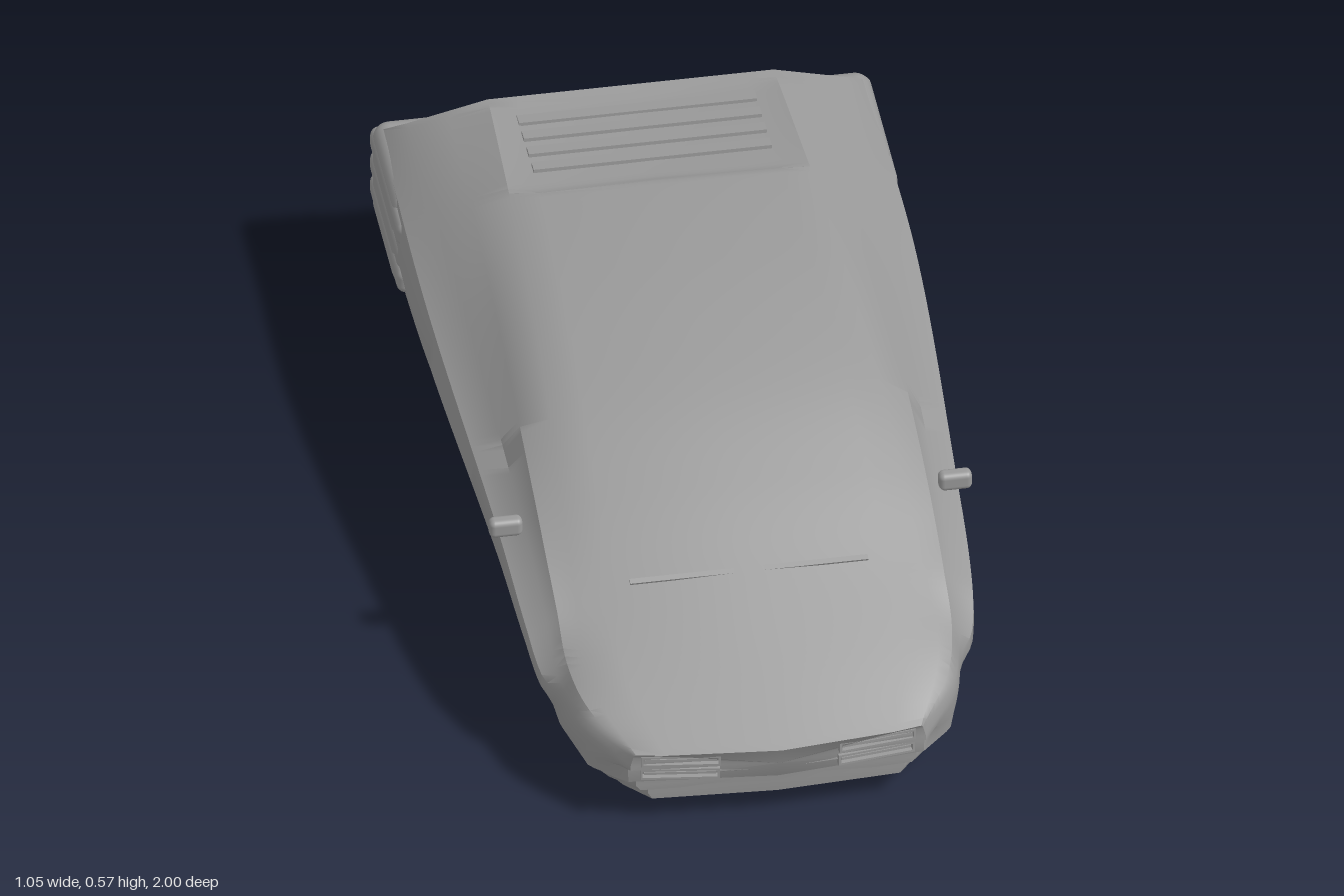
import * as THREE from 'three';
import { toCreasedNormals } from 'three/addons/utils/BufferGeometryUtils.js';
import { RoundedBoxGeometry } from 'three/addons/geometries/RoundedBoxGeometry.js';

const material = new THREE.MeshStandardMaterial({ color: 0x999999, side: THREE.DoubleSide });

function add(parent, name, geometry, x = 0, y = 0, z = 0, rx = 0, ry = 0, rz = 0) {
  const mesh = new THREE.Mesh(geometry, material);
  mesh.name = name;
  mesh.position.set(x, y, z);
  mesh.rotation.set(rx, ry, rz);
  parent.add(mesh);
}
const box = (w, h, d) => new THREE.BoxGeometry(w, h, d);
const points = list => list.map(p => new THREE.Vector2(...p));

// Point on a lengthwise rail of [z, x, y] knots, smooth or straight between knots
function railPoint(rail, u, straight = false) {
  const z = THREE.MathUtils.lerp(rail[0][0], rail.at(-1)[0], u);
  let i = 0;
  while (i < rail.length - 2 && z < rail[i + 1][0]) i++;
  const a = rail[i], b = rail[i + 1], h = b[0] - a[0], t = (z - a[0]) / h;
  const slope = (j, k) => {
    const p = rail[Math.max(j - 1, 0)], q = rail[Math.min(j + 1, rail.length - 1)];
    return (q[k] - p[k]) / (q[0] - p[0]);
  };
  const value = k => straight ? a[k] + (b[k] - a[k]) * t
    : a[k] * (1 + 2 * t) * (1 - t) ** 2 + slope(i, k) * h * t * (1 - t) ** 2
      + b[k] * t * t * (3 - 2 * t) + slope(i + 1, k) * h * t * t * (t - 1);
  return [value(1), value(2), z];
}

// Closed, mirrored skin over rails listed from top centre to bottom centre
function loft(rails, isStraight, steps) {
  const last = rails.length - 1, ring = 2 * last;
  const pos = [], index = [];
  for (let i = 0; i <= steps; i++) {
    const half = rails.map((r, k) => railPoint(r, i / steps, isStraight(k)));
    const mirrored = half.slice(1, last).reverse().map(([x, y, z]) => [-x, y, z]);
    pos.push(...[...half, ...mirrored].flat());
  }
  for (let i = 0; i < steps; i++) for (let j = 0; j < ring; j++) {
    const a = i * ring + j, b = i * ring + (j + 1) % ring;
    index.push(a, b, a + ring, b, b + ring, a + ring);
  }
  for (const end of [0, steps]) {
    const top = end * ring * 3, bottom = top + last * 3, c = pos.length / 3;
    pos.push(0, (pos[top + 1] + pos[bottom + 1]) / 2, (pos[top + 2] + pos[bottom + 2]) / 2);
    for (let j = 0; j < ring; j++) {
      const a = end * ring + j, b = end * ring + (j + 1) % ring;
      index.push(c, end ? a : b, end ? b : a);
    }
  }
  const g = new THREE.BufferGeometry();
  g.setAttribute('position', new THREE.Float32BufferAttribute(pos, 3));
  g.setIndex(index);
  return toCreasedNormals(g, .55);
}

// Side profile in (z, y) extruded across x
function across(profile, width) {
  const g = new THREE.ExtrudeGeometry(new THREE.Shape(profile), { depth: width, bevelEnabled: false });
  return toCreasedNormals(g.translate(0, 0, -width / 2).rotateY(-Math.PI / 2), .5);
}

// Rectangular rim
function frame(w, h, rim, depth) {
  const rect = (path, a, b) => path.moveTo(-a, -b).lineTo(a, -b).lineTo(a, b).lineTo(-a, b);
  const shape = rect(new THREE.Shape(), w / 2, h / 2);
  shape.holes.push(rect(new THREE.Path(), w / 2 - rim, h / 2 - rim));
  return new THREE.ExtrudeGeometry(shape, { depth, bevelEnabled: false });
}

// Guide lines as [z, x, y]: roof centre, fender shoulder, sill
const roof = [[1, 0, .205], [.8, 0, .287], [.6, 0, .372], [.4, 0, .455], [.2, 0, .522], [0, 0, .558],
  [-.2, 0, .572], [-.49, 0, .564], [-.515, 0, .562], [-.8, 0, .538], [-.86, 0, .53]];
const shoulder = [[.955, .31, .17], [.85, .39, .195], [.74, .422, .21], [.7, .45, .225], [.6, .468, .28],
  [.35, .482, .335], [-.35, .515, .4], [-.96, .51, .4]];
const sill = [[.93, .31, .11], [.85, .38, .1], [.7, .415, .1], [.5, .43, .13],
  [.15, .45, .2], [-.18, .46, .24], [-.4, .46, .15], [-.93, .46, .15]];

// Remaining body lines follow from the guides by rule
const arch = (z, power) => Math.sin(Math.PI * THREE.MathUtils.clamp((.97 - z) / 1.83, 0, 1) ** power);
const roofLine = (share, drop, nose) => roof.map(([z, , y], i) =>
  [i ? z : nose, share * (.3 + .065 * arch(z, .35)), y - drop * arch(z, .55) - (i ? 0 : drop / 8)]);
const sunkDeck = rail => rail.map(([z, x, y]) => [z, x, z < -.5 && z > -.85 ? y - .013 : y]);
const fromShoulder = rule => shoulder.map(([z, x, y]) => rule(z, x, y, .955 - z));
const floorLine = (dy, nose) => sill.map(([z, , y], i) => [i ? z : nose, 0, y + dy]);

const roofCorner = roofLine(1, .034, .96);
const canopyFoot = fromShoulder((z, x, y, t) => [Math.max(z, -.9), Math.min(x - .005, .42 + .022 * t), y + .02 + .02 * t]);
const canopySide = Array.from({ length: 17 }, (_, i) => {
  const a = railPoint(roofCorner, i / 16), b = railPoint(canopyFoot, i / 16), z = (a[2] + b[2]) / 2;
  return [z, (a[0] + b[0]) / 2 + .014 * arch(z, .8), (a[1] + b[1]) / 2 + .014 * arch(z, .8)];
});

const bodyRails = [
  sunkDeck(roof),
  sunkDeck(roofLine(.8, .013, .975)),
  roofCorner,
  canopySide,
  canopyFoot,
  shoulder,
  fromShoulder((z, x, y, t) => [z - .012 * t, x + .006 * t, y - Math.min(.1, .012 + .07 * t)]),
  sill.map(([z, x, y]) => [z - .015 * (1 - z), x + .025 * (1 - z), y + .035]),
  sill,
  floorLine(0, .96),
];

// Stepped band under the body, following the sill
function skirt(scale, up, down) {
  const stop = rail => rail.map(([z, x, y]) => [Math.max(z, -.88), x, y]);
  const edge = (s, dy) => stop(sill.map(([z, x, y]) => [z, x * s, y + dy]));
  return loft([stop(floorLine(up, .95)), edge(scale, up), edge(scale, (up + 2 * down) / 3),
    edge(scale - .03, down), stop(floorLine(down, .945))], () => true, 80);
}

export function createModel() {
  const car = new THREE.Group();
  car.name = 'hoverCar';

  add(car, 'bodyShell', loft(bodyRails, k => k >= 8, 110));
  add(car, 'upperSkirt', skirt(.95, .012, -.025));
  add(car, 'lowerSkirt', skirt(.87, 0, -.05));

  // Tail block with sloping louvred grille
  add(car, 'tailBlock', across(points([[-.8, .5], [-.865, .5], [-.89, .445], [-.965, .41],
    [-.97, .385], [-.91, .165], [-.8, .15]]), .74));
  for (let i = 0; i < 9; i++) {
    const t = i / 8;
    add(car, 'grilleSlat', box(.66 - .06 * t, .009, .022), 0, .37 - .19 * t, -.968 + .052 * t, .2);
  }
  for (const x of [-.23, -.08, .08, .23]) add(car, 'tailDivider', box(.008, .02, .075), x, .43, -.925, -.43);
  add(car, 'tailRail', box(.72, .016, .02), 0, .4, -.965);

  // Rear deck louvres and scuttle line
  for (let i = 0; i < 4; i++)
    add(car, 'deckLouvre', box(.5, .008, .03), 0, .543 - i * .005, -.6 - i * .06, -.085);
  add(car, 'scuttleLine', box(.5, .005, .012), 0, .37, .595, .4);

  for (const s of [-1, 1]) {
    // Rear corners with three shallow wrapped ribs
    add(car, 'rearCorner', new RoundedBoxGeometry(.165, .235, .3, 4, .035), s * .441, .294, -.845);
    for (const y of [.24, .3, .36])
      add(car, 'rearRib', new RoundedBoxGeometry(.17, .06, .36, 4, .02), s * .441, y, -.82);

    // Mirrors
    add(car, 'mirror', new RoundedBoxGeometry(.07, .042, .032, 3, .012), s * .472, .37, .365);
    add(car, 'mirrorStalk', box(.05, .014, .02), s * .437, .352, .36, 0, 0, s * .4);

    // Nose lamps
    for (const y of [.139, .181]) {
      const z = .905 + .29 * y;
      add(car, 'lampFrame', frame(.165, .026, .005, .014), s * .205, y, z, 0, s * .13);
      add(car, 'lampBar', box(.15, .006, .02), s * .205, y, z, 0, s * .13);
      add(car, 'lampWedge', new THREE.ConeGeometry(.008, .11, 4), s * .085, y, z + .016, 0, s * .13, s * Math.PI / 2);
    }

    // Front lift pads
    const dome = points([[0, 0], [.06, .002], [.085, .01], [.1, .026], [.105, .05]]);
    add(car, 'liftPad', new THREE.LatheGeometry(dome, 36), s * .155, .003, .51);
    add(car, 'frontPlate', box(.06, .012, .03), s * .12, .042, .74);

    // Louvred vents behind the pads
    add(car, 'ventFrame', frame(.17, .22, .02, .028), s * .165, .05, .245, Math.PI / 2);
    for (let i = 0; i < 7; i++) add(car, 'ventSlat', box(.13, .008, .014), s * .165, .038, .17 + i * .025, .5);

    // Rear curved thruster housings
    const curve = new THREE.SplineCurve(points([[-.3, .12], [-.36, .045], [-.68, .015], [-.8, .025], [-.85, .13]]));
    add(car, 'thrusterHousing', across(curve.getPoints(24), .17), s * .195);
    add(car, 'pocketRib', box(.02, .06, .36), s * .3, .13, -.11);
  }

  // Underside: front tray, spine, pocket roof and rear tray
  add(car, 'frontTray', across(points([[.87, .1], [.84, .062], [.7, .045], [.13, .05], [.07, .19], [.6, .1]]), .6));
  add(car, 'spine', box(.16, .1, .42), 0, .108, -.11, -.035);
  add(car, 'pocketRoof', box(.66, .06, .46), 0, .15, -.12, -.07);
  add(car, 'rearTray', box(.62, .06, .54), 0, .115, -.57);
  for (let i = 0; i < 6; i++)
    add(car, 'jet', new THREE.CylinderGeometry(.018, .014, .03, 14), (i % 2 - .5) * .05, .04, .2 + Math.floor(i / 2) * .05);

  // Square centre nozzle
  add(car, 'nozzleFrame', frame(.2, .24, .03, .06), 0, .1, -.52, Math.PI / 2);
  add(car, 'nozzle', new THREE.CylinderGeometry(.04, .1, .05, 4, 1, true).rotateY(Math.PI / 4), 0, .068, -.52);

  return car;
}
